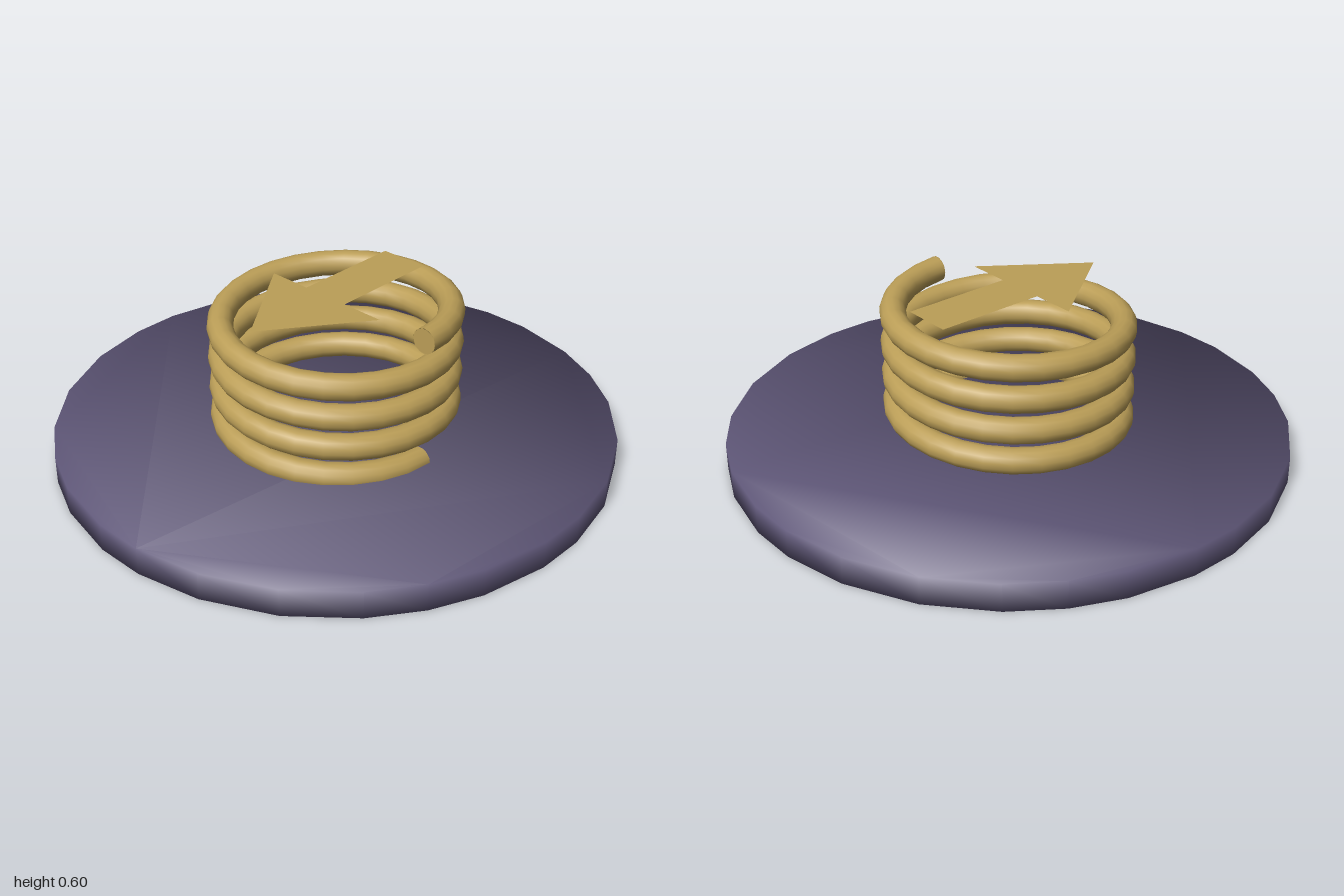
import * as THREE from 'three';

// Rising spiral: starts and ends on +x
class Helix extends THREE.Curve {
  constructor(radius, bottom, pitch, turns) {
    super();
    Object.assign(this, { radius, bottom, pitch, turns });
  }
  getPoint(t, target = new THREE.Vector3()) {
    const a = t * this.turns * Math.PI * 2;
    return target.set(Math.cos(a) * this.radius, this.bottom + t * this.turns * this.pitch, Math.sin(a) * this.radius);
  }
}

export function createModel() {
  const purple = new THREE.MeshStandardMaterial({ color: 0x5f5778 });
  purple.name = 'dusky purple';
  const gold = new THREE.MeshStandardMaterial({ color: 0xbb9e57, side: THREE.DoubleSide });
  gold.name = 'old gold';

  const model = new THREE.Group();
  model.name = 'coilOnDisc';
  const add = (name, geometry, material, parent = model) => {
    const mesh = new THREE.Mesh(geometry, material);
    mesh.name = name;
    parent.add(mesh);
    return mesh;
  };

  // Base disc: uneven 28-sided outline, repeated every quarter turn
  const quarter = [5, 19, 30, 41.4, 56, 71.2, 84.7];
  const rim = [];
  for (let q = 0; q < 4; q++) {
    for (const degrees of quarter) {
      const a = THREE.MathUtils.degToRad(degrees + q * 90);
      rim.push(new THREE.Vector2(Math.cos(a), Math.sin(a)));
    }
  }
  const disc = new THREE.ExtrudeGeometry(new THREE.Shape(rim), { depth: 0.1, bevelEnabled: false });
  disc.rotateX(Math.PI / 2).translate(0, 0.1, 0);
  // Soft rim: the normals lean outwards on both faces
  const p = disc.attributes.position;
  const n = new THREE.Vector3();
  for (let i = 0; i < p.count; i++) {
    n.set(1.2 * p.getX(i), p.getY(i) > 0.05 ? 1 : -1, 1.2 * p.getZ(i)).normalize();
    disc.attributes.normal.setXYZ(i, n.x, n.y, n.z);
  }
  add('baseDisc', disc, purple);

  // Coil spring with closed ends
  const spring = new THREE.Group();
  spring.name = 'spring';
  model.add(spring);
  const helix = new Helix(0.4, 0.095, 0.115, 4);
  add('coil', new THREE.TubeGeometry(helix, 112, 0.046, 14), gold, spring);
  for (const t of [0, 1]) {
    const cap = add(t ? 'coilTopEnd' : 'coilBottomEnd', new THREE.CircleGeometry(0.046, 14), gold, spring);
    cap.position.copy(helix.getPoint(t));
    if (t === 0) cap.rotation.y = Math.PI;
  }

  // Flat arrow pointing forwards, lying over the coil
  const half = [[0.09, -0.355], [0.09, 0.05], [0.25, 0.05]];
  const outline = [
    ...half, [0, 0.4], ...half.map(([x, z]) => [-x, z]).reverse(),
  ].map(([x, z]) => new THREE.Vector2(x, -z));
  const arrow = new THREE.ShapeGeometry(new THREE.Shape(outline));
  arrow.rotateX(-Math.PI / 2).translate(0, 0.598, 0);
  add('directionArrow', arrow, gold);

  return model;
}
